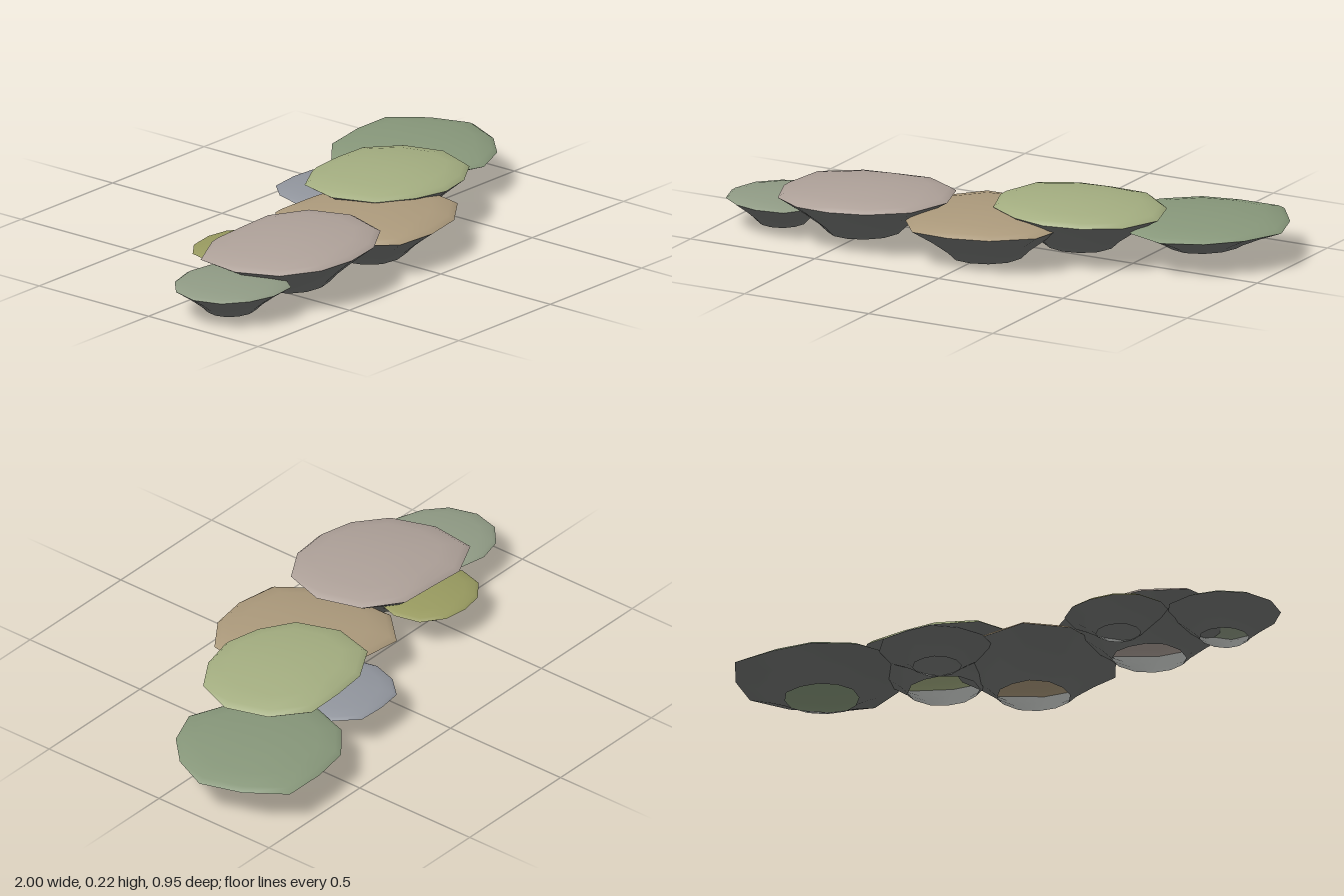
import * as THREE from 'three';

// Profiles from rim inwards: [fraction of rim radius, fraction of height]
const CAP = [[1, 0], [0.93, 0.36], [0.72, 0.7], [0.36, 0.93], [0, 1]];
const SKIRT = [[1, 0], [0.74, 0.4], [0.53, 0.77], [0.43, 1]];

// One plate each: centre, rim height, cap rise, skirt depth, sideways tilt,
// colour, and rim radius every 30 degrees from +x towards +z
const PLATES = [
  { name: 'smallLeafGreenPlate', x: -0.795, z: 0.205, rim: 0.108, rise: 0.025, depth: 0.09, tilt: 0.02, color: 0x8f9a84,
    radii: [0.2, 0.2, 0.215, 0.195, 0.19, 0.2, 0.205, 0.205, 0.2, 0.2, 0.21, 0.2] },
  { name: 'largeRosePlate', x: -0.46, z: 0.215, rim: 0.168, rise: 0.042, depth: 0.132, tilt: 0.045, color: 0xada098,
    radii: [0.332, 0.322, 0.283, 0.264, 0.277, 0.305, 0.325, 0.35, 0.293, 0.25, 0.287, 0.322] },
  { name: 'largeTanPlate', x: 0.01, z: 0.165, rim: 0.135, rise: 0.042, depth: 0.132, tilt: 0.03, color: 0xab997b,
    radii: [0.315, 0.33, 0.302, 0.288, 0.31, 0.29, 0.285, 0.33, 0.335, 0.275, 0.29, 0.3] },
  { name: 'largeLimePlate', x: 0.295, z: 0.02, rim: 0.178, rise: 0.044, depth: 0.13, tilt: -0.01, color: 0xa3ad80,
    radii: [0.316, 0.298, 0.265, 0.26, 0.265, 0.302, 0.318, 0.318, 0.275, 0.252, 0.293, 0.308] },
  { name: 'largeMossPlate', x: 0.68, z: -0.18, rim: 0.13, rise: 0.038, depth: 0.08, tilt: 0.01, color: 0x87977a,
    radii: [0.316, 0.288, 0.288, 0.308, 0.29, 0.3, 0.33, 0.318, 0.3, 0.287, 0.332, 0.306] },
  { name: 'smallSlatePlate', x: 0.19, z: -0.16, rim: 0.115, rise: 0.025, depth: 0.068, tilt: 0, color: 0x90949c,
    radii: [0.205, 0.2, 0.19, 0.185, 0.19, 0.2, 0.197, 0.192, 0.197, 0.183, 0.206, 0.206] },
  { name: 'smallOlivePlate', x: -0.485, z: 0, rim: 0.115, rise: 0.025, depth: 0.068, tilt: 0, color: 0x97995f,
    radii: [0.19, 0.185, 0.175, 0.17, 0.175, 0.185, 0.187, 0.187, 0.174, 0.166, 0.177, 0.192] },
];

// Sweeps a profile around an uneven rim; the rim evens out towards the middle
function plateSurface(profile, radii, height, tilt) {
  const n = radii.length;
  const mean = radii.reduce((a, b) => a + b) / n;
  const positions = [];
  const index = [];
  profile.forEach(([t, h]) => {
    for (let i = 0; i < n; i++) {
      const a = (i / n) * Math.PI * 2;
      const r = t * THREE.MathUtils.lerp(mean, radii[i], t);
      const x = Math.cos(a) * r;
      positions.push(x, h * height + tilt * x, Math.sin(a) * r);
    }
  });
  for (let k = 0; k < profile.length - 1; k++) {
    for (let i = 0; i < n; i++) {
      const a = k * n + i, b = k * n + (i + 1) % n, c = a + n, d = b + n;
      const closing = profile[k + 1][0] === 0;
      // height sign decides which way the surface faces
      if (height > 0) {
        index.push(a, c, b);
        if (!closing) index.push(b, c, d);
      } else {
        index.push(a, b, c);
        if (!closing) index.push(b, d, c);
      }
    }
  }
  // a closed profile shares one centre vertex
  if (profile[profile.length - 1][0] === 0) {
    const first = (profile.length - 1) * n;
    for (let i = 0; i < index.length; i++) if (index[i] > first) index[i] = first;
  }
  const geometry = new THREE.BufferGeometry();
  geometry.setAttribute('position', new THREE.Float32BufferAttribute(positions, 3));
  geometry.setIndex(index);
  geometry.computeVertexNormals();
  return geometry;
}

export function createModel() {
  const model = new THREE.Group();
  model.name = 'plateCluster';
  const skirtMaterial = new THREE.MeshStandardMaterial({ color: 0x707270, side: THREE.DoubleSide });

  for (const p of PLATES) {
    const plate = new THREE.Group();
    plate.name = p.name;
    plate.position.set(p.x, p.rim, p.z);

    // Shallow domed cap
    const cap = new THREE.Mesh(
      plateSurface(CAP, p.radii, p.rise, p.tilt),
      new THREE.MeshStandardMaterial({ color: p.color, side: THREE.DoubleSide }));
    cap.name = 'cap';

    // Tapering underside, open at the bottom
    const skirt = new THREE.Mesh(plateSurface(SKIRT, p.radii, -p.depth, p.tilt), skirtMaterial);
    skirt.name = 'underside';

    plate.add(cap, skirt);
    model.add(plate);
  }
  return model;
}
